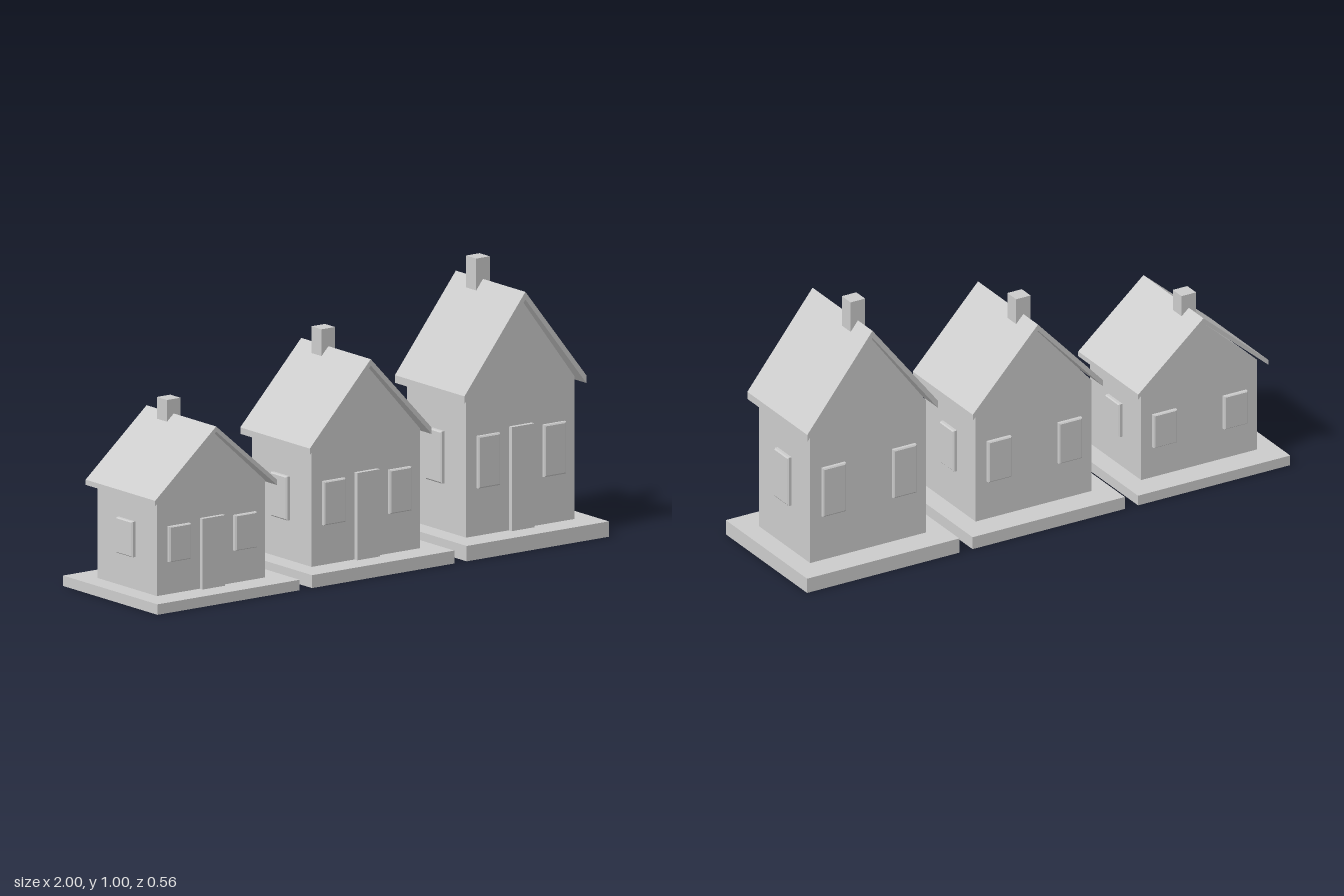
import * as THREE from 'three';

const grey = new THREE.MeshStandardMaterial({ color: 0xcccccc });
grey.name = 'plain grey';

function add(parent, name, geometry, x = 0, y = 0, z = 0, turn = 0) {
  const mesh = new THREE.Mesh(geometry, grey);
  mesh.name = name;
  mesh.position.set(x, y, z);
  mesh.rotation.y = turn;
  parent.add(mesh);
}

// Closed outline in x/y, extruded along z and centred on z = 0
function prism(points, depth) {
  const shape = new THREE.Shape(points.map(([x, y]) => new THREE.Vector2(x, y)));
  return new THREE.ExtrudeGeometry(shape, { depth, bevelEnabled: false }).translate(0, 0, -depth / 2);
}

// Window panel with a narrow chamfer, facing +z
function windowPanel(w, h) {
  const shape = new THREE.Shape([[-w, -h], [w, -h], [w, h], [-w, h]].map(([x, y]) => new THREE.Vector2(x / 2, y / 2)));
  return new THREE.ExtrudeGeometry(shape, {
    depth: 0.011, bevelThickness: 0.004, bevelSize: 0.005, bevelOffset: -0.005, bevelSegments: 1,
  });
}

function createHouse(name, x, heightScale) {
  const house = new THREE.Group();
  house.name = name;
  house.position.x = x;
  house.scale.y = heightScale;

  add(house, 'base', new THREE.BoxGeometry(0.63, 0.056, 0.556), 0, 0.028);

  // Walls with gable ends
  add(house, 'walls', prism([[-0.24, 0.05], [0.24, 0.05], [0.24, 0.575], [0, 0.893], [-0.24, 0.575]], 0.35));

  // Pitched roof slab with overhanging eaves
  add(house, 'roof', prism([
    [0.27, 0.552], [0.27, 0.58], [0, 0.922], [-0.27, 0.58], [-0.27, 0.552], [0, 0.894],
  ], 0.41));

  add(house, 'chimney', new THREE.BoxGeometry(0.06, 0.14, 0.06), 0, 0.93, -0.075);
  add(house, 'door', new THREE.BoxGeometry(0.1, 0.379, 0.026), 0, 0.2445, 0.179);

  // Two windows front and back, one on each side
  const panel = windowPanel(0.096, 0.19);
  for (const side of [-1, 1]) {
    add(house, 'frontWindow', panel, side * 0.146, 0.325, 0.175);
    add(house, 'backWindow', panel, side * 0.146, 0.325, -0.175, Math.PI);
    add(house, 'sideWindow', panel, side * 0.24, 0.325, 0, side * Math.PI / 2);
  }
  return house;
}

export function createModel() {
  const model = new THREE.Group();
  model.name = 'houseRow';
  model.add(
    createHouse('smallHouse', -0.685, 0.68),
    createHouse('middleHouse', 0, 0.84),
    createHouse('tallHouse', 0.685, 1),
  );
  return model;
}
